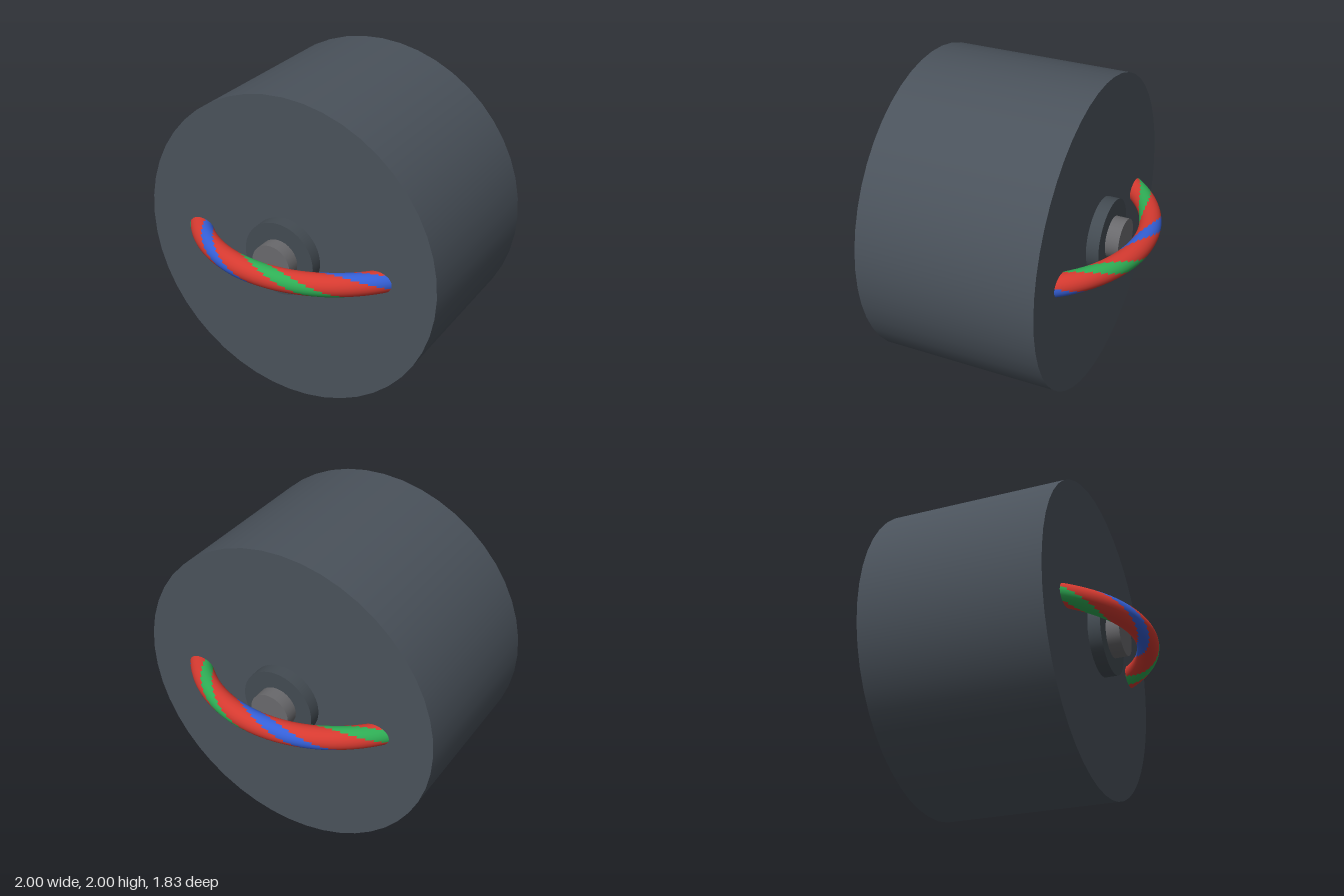
import * as THREE from 'three';

const CENTRE_Y = 1;
const RING_RADIUS = 0.845;

// Closed ring path in the xz plane, winding gently around the ring's core
class StrandCurve extends THREE.Curve {
  constructor(offset, turns, phase) {
    super();
    Object.assign(this, { offset, turns, phase });
  }
  getPoint(t, target = new THREE.Vector3()) {
    const a = t * Math.PI * 2;
    const twist = a * this.turns + this.phase;
    const r = RING_RADIUS + this.offset * Math.cos(twist);
    return target.set(r * Math.cos(a), this.offset * Math.sin(twist), r * Math.sin(a));
  }
}

export function createModel() {
  const model = new THREE.Group();
  const add = (name, geometry, color) => {
    const mesh = new THREE.Mesh(geometry, new THREE.MeshStandardMaterial({ color }));
    mesh.name = name;
    mesh.position.y = CENTRE_Y;
    model.add(mesh);
  };

  // Solid drum, stepped hub and axle, all along z
  const disc = (name, radius, halfWidth, sides, color) =>
    add(name, new THREE.CylinderGeometry(radius, radius, halfWidth * 2, sides).rotateX(Math.PI / 2), color);
  disc('drum', 1, 0.57, 48, 0x4a525b);
  disc('hub', 0.237, 0.65, 48, 0x434b52);
  disc('axle', 0.13, 0.735, 32, 0x69696c);

  // Horizontal ring through the drum, with coloured streaks spiralling along it
  add('ring', new THREE.TorusGeometry(RING_RADIUS, 0.069, 24, 128).rotateX(Math.PI / 2), 0xd63a30);
  [['greenStreak', 0x2fae55, 0], ['blueStreak', 0x3560d8, Math.PI]].forEach(([name, color, phase]) =>
    add(name, new THREE.TubeGeometry(new StrandCurve(0.006, 5, phase), 128, 0.064, 24, true), color));

  return model;
}
